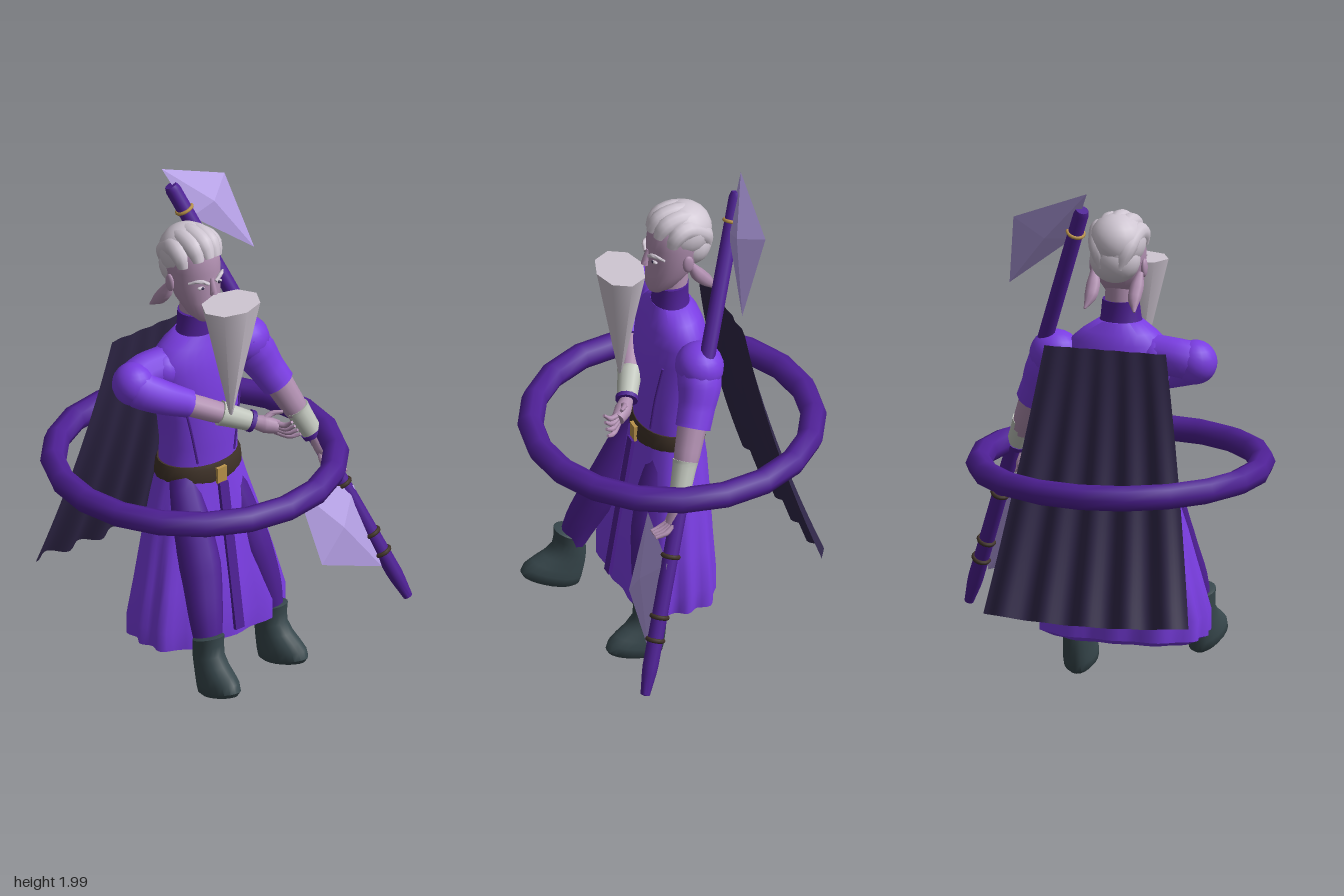
import * as THREE from 'three';
import { toCreasedNormals } from 'three/addons/utils/BufferGeometryUtils.js';
import { ConvexGeometry } from 'three/addons/geometries/ConvexGeometry.js';

const CX = -0.075; // body centre line
const colour = (name, hex, side = THREE.FrontSide) => {
  const m = new THREE.MeshStandardMaterial({ color: hex, side });
  m.name = name;
  return m;
};
const V = (x, y, z) => new THREE.Vector3(x, y, z);

export function createModel() {
  const root = new THREE.Group();
  root.name = 'robedFigure';
  const robe = colour('violet robe', 0x7a3de2);
  const dark = colour('deep purple', 0x4e2094);
  const capeCloth = colour('dark cape', 0x31284a, THREE.DoubleSide);
  const boot = colour('slate boots', 0x37474c);
  const skin = colour('mauve skin', 0xb08fb0);
  const hair = colour('silver hair', 0xcfc6d2);
  const cuff = colour('grey green cuff', 0xbfc4bb);
  const leather = colour('brown leather', 0x3f3228);
  const gold = colour('gold', 0xb8924a);
  const crystal = colour('lavender blade', 0xb49fe4);

  const add = (name, geo, mat, parent = root) => {
    const m = new THREE.Mesh(geo, mat);
    m.name = name;
    parent.add(m);
    return m;
  };

  // Capped tube through [x, y, z, radius] points
  const limb = (name, pts, mat, sides = 12, seg = 18) => {
    const curve = new THREE.CatmullRomCurve3(pts.map(p => V(p[0], p[1], p[2])));
    const geo = new THREE.TubeGeometry(curve, seg, 1, sides);
    const pos = geo.attributes.position, v = V(0, 0, 0);
    for (let i = 0; i <= seg; i++) {
      const u = THREE.MathUtils.clamp((i - 1) / (seg - 2), 0, 1);
      const old = curve.getPointAt(i / seg), c = curve.getPointAt(u);
      const k = curve.getUtoTmapping(u) * (pts.length - 1);
      const a = Math.min(Math.floor(k), pts.length - 2);
      const r = i === 0 || i === seg ? 0 : THREE.MathUtils.lerp(pts[a][3], pts[a + 1][3], k - a);
      for (let j = 0; j <= sides; j++) {
        const n = i * (sides + 1) + j;
        v.fromBufferAttribute(pos, n).sub(old).multiplyScalar(r).add(c);
        pos.setXYZ(n, v.x, v.y, v.z);
      }
    }
    return add(name, toCreasedNormals(geo, 0.95), mat);
  };

  // Stacked ellipses, bottom to top: [y, half width, z centre, half depth]
  const loft = (name, rows, mat, sides = 28, ripple = () => 1, cx = CX) => {
    const geo = new THREE.CylinderGeometry(1, 1, 1, sides, rows.length - 1);
    const pos = geo.attributes.position;
    for (let i = 0; i < pos.count; i++) {
      const k = Math.round((pos.getY(i) + 0.5) * (rows.length - 1));
      const [y, rx, cz, rz] = rows[k];
      const x = pos.getX(i), z = pos.getZ(i), f = ripple(Math.atan2(x, z), y);
      pos.setXYZ(i, cx + x * rx * f, y, cz + z * rz * f);
    }
    return add(name, toCreasedNormals(geo, 0.8), mat);
  };

  const ball = (name, x, y, z, rx, ry, rz, mat) => {
    const m = add(name, new THREE.SphereGeometry(1, 20, 14), mat);
    m.position.set(x, y, z);
    m.scale.set(rx, ry, rz);
    return m;
  };

  // Floating ring
  const ring = add('floatingRing', new THREE.TorusGeometry(0.536, 0.05, 8, 20), dark);
  ring.rotation.x = Math.PI / 2;
  ring.position.set(CX, 0.89, 0);

  // Robe body, skirt, belt
  loft('torso', [[0.88, 0.17, 0.018, 0.122], [1.0, 0.162, 0.02, 0.126], [1.12, 0.172, 0.016, 0.134],
    [1.24, 0.19, 0.008, 0.131], [1.32, 0.2, 0.002, 0.122], [1.37, 0.19, 0, 0.11], [1.41, 0.145, 0, 0.095],
    [1.45, 0.085, 0.005, 0.075]], robe);
  // Pleated skirt, squarer towards the hem
  loft('skirt', [[0.2, 0.27, 0.06, 0.14], [0.22, 0.315, 0.065, 0.175], [0.3, 0.32, 0.065, 0.178],
    [0.45, 0.288, 0.055, 0.168], [0.62, 0.25, 0.04, 0.155], [0.78, 0.205, 0.025, 0.14],
    [0.92, 0.168, 0.018, 0.12]], robe, 72,
    (a, y) => 1 + (0.92 - y) * (0.055 * Math.cos(a * 12) + 0.18 * Math.sin(2 * a) ** 2));
  loft('belt', [[0.85, 0.181, 0.018, 0.134], [0.865, 0.185, 0.018, 0.137], [0.91, 0.18, 0.018, 0.132],
    [0.925, 0.174, 0.018, 0.127]], leather);
  const buckle = add('buckle', new THREE.BoxGeometry(0.045, 0.065, 0.02), gold);
  buckle.position.set(CX, 0.875, 0.153);
  const sash = add('sash', new THREE.BoxGeometry(0.042, 0.6, 0.015), dark);
  sash.position.set(CX, 0.55, 0.213);
  sash.rotation.x = -0.16;
  for (const s of [-1, 1])
    limb('robeSeam', [[CX + s * 0.145, 1.24, 0.096, 0.005], [CX + s * 0.115, 1.08, 0.116, 0.005],
      [CX + s * 0.09, 0.94, 0.124, 0.005]], dark, 6, 8);

  // Legs
  limb('rightLeg', [[-0.19, 0.86, 0.06, 0.06], [-0.208, 0.72, 0.13, 0.075], [-0.225, 0.55, 0.21, 0.08],
    [-0.265, 0.38, 0.29, 0.065], [-0.287, 0.25, 0.335, 0.047]], dark);
  limb('leftLeg', [[0.01, 0.86, 0.06, 0.055], [0.035, 0.72, 0.105, 0.065], [0.08, 0.52, 0.152, 0.073],
    [0.125, 0.34, 0.18, 0.06], [0.146, 0.18, 0.19, 0.046]], dark);

  // Boots: a wedge foot under a short shaft, toes tilted up
  const makeBoot = (name, x, y, z, tilt, turn) => {
    const b = loft(name, [[0, 0.05, 0.12, 0.105], [0.015, 0.064, 0.12, 0.12], [0.045, 0.066, 0.118, 0.118],
      [0.075, 0.063, 0.108, 0.105], [0.11, 0.059, 0.094, 0.086], [0.15, 0.058, 0.086, 0.069],
      [0.19, 0.059, 0.096, 0.064], [0.225, 0.061, 0.108, 0.064], [0.23, 0.051, 0.11, 0.053]],
      boot, 20, () => 1, 0);
    b.rotation.set(-tilt, turn, 0, 'YXZ');
    b.position.set(x, y, z);
  };
  makeBoot('rightBoot', -0.284, 0.075, 0.3, 0.32, -0.13);
  makeBoot('leftBoot', 0.143, 0.002, 0.135, 0.24, 0.1);

  // Right arm, bent across the chest
  ball('rightShoulder', -0.225, 1.32, -0.01, 0.085, 0.08, 0.085, robe);
  ball('rightElbow', -0.373, 1.306, -0.005, 0.083, 0.085, 0.083, robe);
  limb('rightSleeve', [[-0.2, 1.33, -0.01, 0.075], [-0.33, 1.318, -0.02, 0.076], [-0.37, 1.3, 0.005, 0.078],
    [-0.31, 1.26, 0.065, 0.068], [-0.2, 1.21, 0.115, 0.055]], robe);
  limb('rightForearm', [[-0.23, 1.22, 0.1, 0.047], [-0.1, 1.155, 0.16, 0.043], [0, 1.11, 0.21, 0.03]], skin);
  limb('rightCuff', [[-0.09, 1.15, 0.165, 0.05], [0.015, 1.1, 0.22, 0.038]], cuff);
  limb('rightCuffTrim', [[0.008, 1.105, 0.217, 0.043], [0.022, 1.098, 0.224, 0.043]], dark, 12, 6);
  limb('rightPalm', [[0.02, 1.1, 0.222, 0.025], [0.06, 1.085, 0.255, 0.034], [0.095, 1.075, 0.29, 0.026]], skin);
  for (let i = 0; i < 4; i++) {
    const k = i - 1.5;
    limb('rightFinger', [[0.085, 1.075 + k * 0.012, 0.28, 0.012], [0.115 - k * 0.008, 1.065 + k * 0.018, 0.32, 0.011],
      [0.13 - k * 0.014, 1.085 + k * 0.022, 0.352, 0.006]], skin, 7, 8);
  }
  limb('rightThumb', [[0.05, 1.1, 0.25, 0.014], [0.09, 1.125, 0.26, 0.011], [0.12, 1.13, 0.285, 0.007]], skin, 7, 8);

  // Left arm, reaching down to the staff
  ball('leftShoulder', 0.178, 1.3, -0.01, 0.1, 0.092, 0.092, robe);
  limb('leftSleeve', [[0.16, 1.32, -0.01, 0.085], [0.215, 1.24, 0.005, 0.085], [0.25, 1.17, 0.03, 0.072],
    [0.285, 1.1, 0.06, 0.068]], robe);
  limb('leftForearm', [[0.27, 1.14, 0.05, 0.058], [0.325, 1.01, 0.1, 0.05], [0.385, 0.88, 0.15, 0.03]], skin);
  limb('leftCuff', [[0.335, 0.995, 0.11, 0.05], [0.38, 0.89, 0.15, 0.04]], cuff);
  limb('leftCuffTrim', [[0.377, 0.897, 0.147, 0.044], [0.384, 0.882, 0.153, 0.044]], dark, 12, 6);
  limb('leftPalm', [[0.382, 0.89, 0.15, 0.025], [0.405, 0.83, 0.175, 0.032], [0.418, 0.78, 0.2, 0.024]], skin);
  for (let i = 0; i < 4; i++) {
    const k = i - 1.5;
    limb('leftFinger', [[0.418 + k * 0.013, 0.785, 0.2, 0.011], [0.42 + k * 0.017, 0.762, 0.235, 0.011],
      [0.42 + k * 0.016, 0.752, 0.275, 0.006]], skin, 7, 8);
  }
  limb('leftThumb', [[0.395, 0.82, 0.18, 0.013], [0.385, 0.785, 0.2, 0.011], [0.392, 0.76, 0.215, 0.006]], skin, 7, 8);

  // Double ended staff, built upright and then tilted
  const top = V(0.005, 1.93, -0.235), tip = V(0.645, 0.185, 0.4);
  const len = top.distanceTo(tip);
  const staff = new THREE.Group();
  staff.name = 'staff';
  staff.position.copy(top).add(tip).multiplyScalar(0.5);
  staff.quaternion.setFromUnitVectors(V(0, 1, 0), top.clone().sub(tip).normalize());
  root.add(staff);
  const profile = [[0, 0], [0.018, 0.005], [0.028, 0.09], [0.03, 0.12], [0.03, len - 0.02], [0.024, len], [0, len]]
    .map(p => new THREE.Vector2(p[0], p[1] - len / 2));
  add('staffShaft', toCreasedNormals(new THREE.LatheGeometry(profile, 12), 0.7), dark, staff);
  const onStaff = (name, y, r, tube, mat) => {
    const m = add(name, new THREE.TorusGeometry(r, tube, 8, 16), mat, staff);
    m.rotation.x = Math.PI / 2;
    m.position.y = ((y - tip.y) / (top.y - tip.y) - 0.5) * len;
  };
  onStaff('upperBand', 1.83, 0.032, 0.007, gold);
  for (const y of [0.67, 0.46, 0.38]) onStaff('lowerBand', y, 0.03, 0.009, leather);

  // Faceted blades: four corners with a raised middle on both faces
  const blade = (name, corners) => {
    const p = corners.map(c => V(...c));
    const mid = p.reduce((s, q) => s.add(q), V(0, 0, 0)).multiplyScalar(0.25);
    const n = p[2].clone().sub(p[0]).cross(p[3].clone().sub(p[1])).normalize().multiplyScalar(0.035);
    add(name, new ConvexGeometry([...p, mid.clone().add(n), mid.clone().sub(n)]), crystal);
  };
  blade('upperBlade', [[-0.02, 2, -0.258], [0.275, 1.885, -0.24], [0.325, 1.595, -0.125], [0.06, 1.8, -0.175]]);
  blade('lowerBlade', [[0.24, 0.725, 0.225], [0.5, 0.66, 0.25], [0.555, 0.33, 0.35], [0.285, 0.42, 0.32]]);

  // Head, neck, collar
  loft('neck', [[1.42, 0.065, 0, 0.06], [1.6, 0.055, 0, 0.06]], skin, 20);
  loft('collar', [[1.41, 0.1, 0.005, 0.08], [1.46, 0.078, 0.008, 0.07], [1.53, 0.07, 0.005, 0.068]], dark, 24);
  loft('head', [[1.515, 0.035, 0.06, 0.035], [1.54, 0.06, 0.045, 0.06], [1.6, 0.085, 0.015, 0.09],
    [1.66, 0.098, -0.005, 0.105], [1.72, 0.102, -0.015, 0.115], [1.78, 0.098, -0.02, 0.112],
    [1.82, 0.08, -0.02, 0.095], [1.85, 0.04, -0.025, 0.05]], skin);
  limb('nose', [[CX, 1.7, 0.096, 0.009], [CX, 1.66, 0.108, 0.012], [CX, 1.635, 0.112, 0.015]], skin, 8, 8);
  for (const s of [-1, 1]) {
    const side = s < 0 ? 'right' : 'left';
    ball(side + 'Eye', CX + s * 0.042, 1.668, 0.087, 0.017, 0.007, 0.01, hair);
    ball(side + 'Pupil', CX + s * 0.041, 1.668, 0.095, 0.007, 0.006, 0.004, capeCloth);
    limb(side + 'Brow', [[CX + s * 0.018, 1.683, 0.103, 0.007], [CX + s * 0.05, 1.7, 0.094, 0.009],
      [CX + s * 0.085, 1.69, 0.062, 0.004]], hair, 7, 8);
    ball(side + 'Ear', CX + s * 0.102, 1.665, -0.025, 0.012, 0.036, 0.022, skin);
    limb(side + 'EarLobe', [[CX + s * 0.09, 1.65, -0.04, 0.014], [CX + s * 0.086, 1.6, -0.07, 0.028],
      [CX + s * 0.086, 1.56, -0.105, 0.026], [CX + s * 0.098, 1.52, -0.145, 0.004]], skin, 8, 12);
  }

  // Swept back hair, gathered in broad soft locks
  ball('hair', CX, 1.765, -0.042, 0.11, 0.108, 0.113, hair);
  ball('hairNape', CX, 1.705, -0.068, 0.098, 0.095, 0.085, hair);
  for (let i = -2; i <= 2; i++) {
    const a = i / 2, drop = 0.035 * a * a;
    limb('hairLock', [[CX + a * 0.078, 1.78 - drop, 0.08 - 0.05 * a * a, 0.024],
      [CX + a * 0.08, 1.82 - drop, 0.06 - 0.045 * a * a, 0.036], [CX + a * 0.072, 1.838 - drop, -0.03, 0.04],
      [CX + a * 0.055, 1.79 - drop, -0.105, 0.038], [CX + a * 0.03, 1.68, -0.12, 0.025]], hair, 12, 16);
  }

  // Cone beard
  const cone = add('beard', new THREE.ConeGeometry(0.126, 0.51, 8), hair);
  cone.rotation.x = Math.PI;
  cone.scale.z = 0.75;
  cone.position.set(CX, 1.385, 0.212);

  // Pleated cape flaring backwards, hem slightly raised at the corners
  const cape = new THREE.PlaneGeometry(1, 1, 60, 12);
  const cp = cape.attributes.position;
  for (let i = 0; i < cp.count; i++) {
    const u = cp.getX(i), t = 0.5 - cp.getY(i), wave = Math.cos(u * Math.PI * 10);
    cp.setXYZ(i, CX + u * 2 * (0.24 + 0.165 * t), 1.38 - t * (1.015 - 0.09 * u * u - 0.006 * wave),
      -0.203 - 0.16 * t - 0.105 * t * t - (0.003 + 0.014 * t) * wave);
  }
  cape.computeVertexNormals();
  add('cape', cape, capeCloth);

  return root;
}
